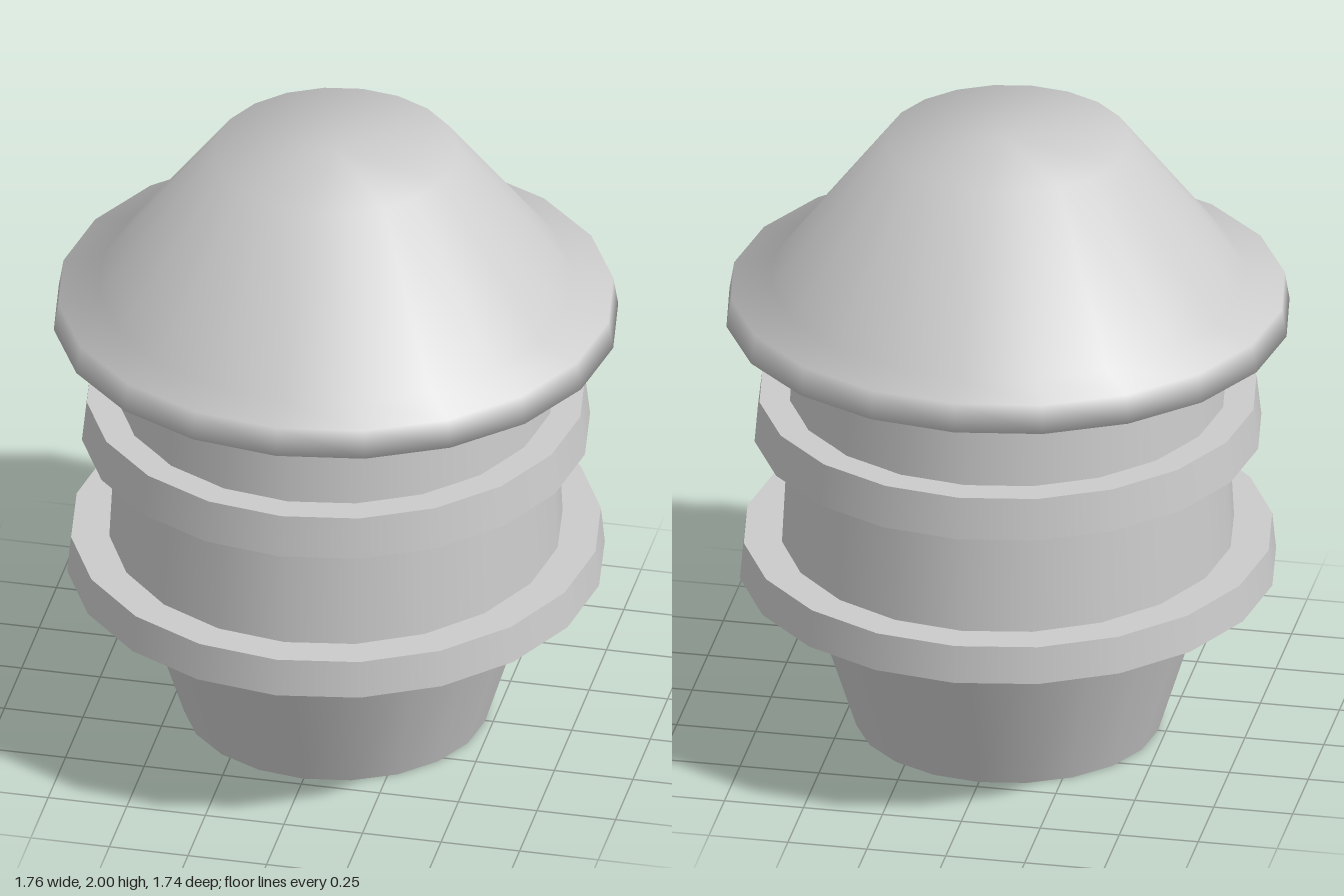
import * as THREE from 'three';

const SIDES = 20;
const material = new THREE.MeshStandardMaterial({ color: 0xcccccc });

// Tapered drum with slightly elliptical ends: [y, radius along x, radius along z]
function drum(name, [y0, x0, z0], [y1, x1, z1]) {
  const geo = new THREE.CylinderGeometry(1, 1, 1, SIDES);
  const pos = geo.attributes.position;
  const normal = geo.attributes.normal;
  const h = y1 - y0;
  for (let i = 0; i < pos.count; i++) {
    const top = pos.getY(i) > 0;
    const x = pos.getX(i), z = pos.getZ(i);
    pos.setXYZ(i, x * (top ? x1 : x0), top ? y1 : y0, z * (top ? z1 : z0));
    // Smooth side normals that follow the taper
    if (Math.abs(normal.getY(i)) < 0.5) {
      const n = new THREE.Vector3(x, (x0 - x1) * x * x / h + (z0 - z1) * z * z / h, z).normalize();
      normal.setXYZ(i, n.x, n.y, n.z);
    }
  }
  const mesh = new THREE.Mesh(geo, material);
  mesh.name = name;
  return mesh;
}

// Conical cap with a flared rim, smooth all over
function cap() {
  const profile = [
    [0, 1.365], [0.775, 1.365], [0.882, 1.4], [0.867, 1.492],
    [0.74, 1.53], [0.38, 2], [0, 2],
  ].map(([x, y]) => new THREE.Vector2(x, y));
  const geo = new THREE.LatheGeometry(profile, SIDES);
  const pos = geo.attributes.position;
  for (let i = 0; i < pos.count; i++) {
    pos.setZ(i, pos.getZ(i) * (pos.getY(i) < 1.51 ? 0.982 : 1.01));
  }
  const mesh = new THREE.Mesh(geo, material);
  mesh.name = 'cap';
  return mesh;
}

export function createModel() {
  const group = new THREE.Group();
  group.name = 'ringedPlug';
  group.add(
    drum('base', [0, 0.475, 0.467], [0.535, 0.642, 0.677]),
    drum('lowerRing', [0.535, 0.837, 0.868], [0.655, 0.825, 0.853]),
    drum('body', [0.655, 0.705, 0.743], [1.365, 0.67, 0.675]),
    drum('upperRing', [1.003, 0.792, 0.809], [1.137, 0.777, 0.789]),
    cap(),
  );
  return group;
}
